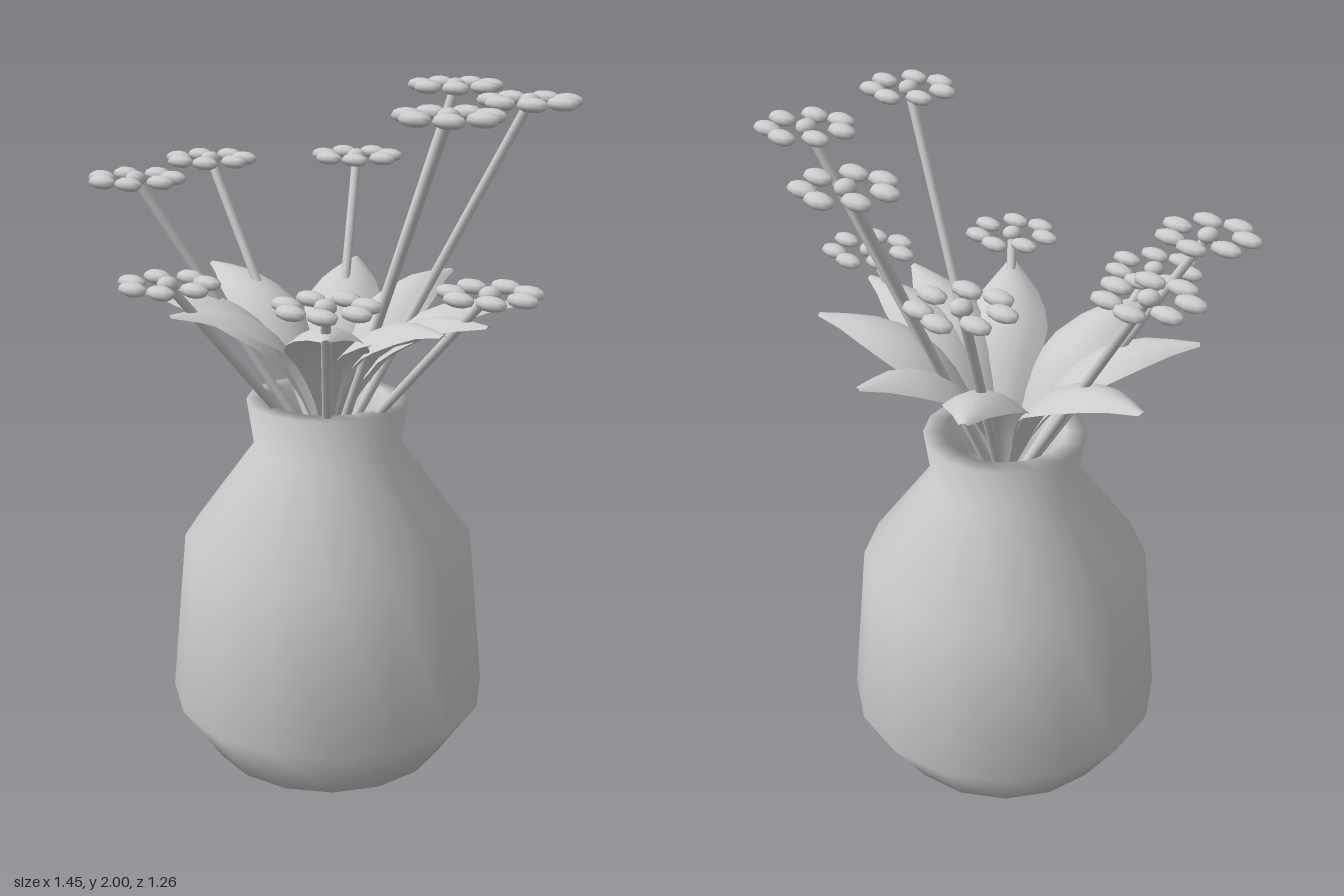
import * as THREE from 'three';

const CX = -0.01, CZ = 0.01; // axis of the vase

const grey = new THREE.MeshStandardMaterial({ color: 0xcccccc, side: THREE.DoubleSide });
grey.name = 'light grey';

function add(parent, name, geometry) {
  const mesh = new THREE.Mesh(geometry, grey);
  mesh.name = name;
  parent.add(mesh);
  return mesh;
}

// Arched leaf growing along +x, domed across its width
function leafGeometry(length) {
  const spine = new THREE.CatmullRomCurve3([
    [0, 0.92], [0.08, 1.13], [0.17, 1.29], [0.28, 1.38], [0.42, 1.425], [0.58, 1.425],
  ].map(([r, y]) => new THREE.Vector3(r * length / 0.58, y, 0)));
  const width = new THREE.SplineCurve([
    [0, 0.005], [0.2, 0.035], [0.4, 0.085], [0.6, 0.118], [0.8, 0.085], [1, 0.012],
  ].map(([t, w]) => new THREE.Vector2(t, w)));
  const geometry = new THREE.PlaneGeometry(1, 1, 10, 6);
  const pos = geometry.attributes.position;
  for (let i = 0; i < pos.count; i++) {
    const t = pos.getX(i) + 0.5, side = pos.getY(i) * 2;
    const p = spine.getPoint(t), half = width.getPoint(t).y;
    pos.setXYZ(i, p.x, p.y - 0.5 * half * side * side, -side * half);
  }
  geometry.computeVertexNormals();
  return geometry;
}

// Straight stem between two points
function stemGeometry(a, b) {
  return new THREE.TubeGeometry(new THREE.LineCurve3(a, b), 1, 0.014, 8, false);
}

// Flat flower: a round centre ringed by seven oval petals
function flowerHead() {
  const head = new THREE.Group();
  head.name = 'flowerHead';
  add(head, 'flowerCentre', new THREE.SphereGeometry(0.03, 10, 8)).scale.y = 0.75;
  const petal = new THREE.SphereGeometry(1, 8, 6);
  for (let i = 0; i < 7; i++) {
    const a = i * Math.PI * 2 / 7;
    const mesh = add(head, 'petal', petal);
    mesh.position.set(Math.cos(a) * 0.105, 0, Math.sin(a) * 0.105);
    mesh.scale.set(0.05, 0.02, 0.029);
  }
  return head;
}

export function createModel() {
  const model = new THREE.Group();
  model.name = 'vaseOfFlowers';

  // Vase with a thick hollow neck
  const profile = [
    [0, 0], [0.36, 0], [0.48, 0.18], [0.432, 0.68], [0.22, 0.97], [0.24, 1.11],
    [0.18, 1.11], [0.165, 0.97], [0.16, 0.85], [0, 0.8],
  ].map(([r, y]) => new THREE.Vector2(r, y));
  add(model, 'vase', new THREE.LatheGeometry(profile, 16)).position.set(CX, 0, CZ);

  // Three tiers of three flowers, each with its own leaf
  const heights = [1.51, 1.745, 1.977];
  heights.forEach((y, tier) => {
    for (let i = 0; i < 3; i++) {
      const t = tier * 2.4 + i * Math.PI * 2 / 7;
      const x = 0.577 * Math.cos(t), z = 0.505 * Math.sin(t);
      const plant = new THREE.Group();
      plant.name = 'flower';
      plant.position.set(CX, 0, CZ);
      add(plant, 'stem', stemGeometry(new THREE.Vector3(0, 0.89, 0), new THREE.Vector3(x, y, z)));
      const head = flowerHead();
      head.position.set(x, y, z);
      plant.add(head);
      add(plant, 'leaf', leafGeometry(Math.hypot(x, z))).rotation.y = -Math.atan2(z, x);
      model.add(plant);
    }
  });
  return model;
}
